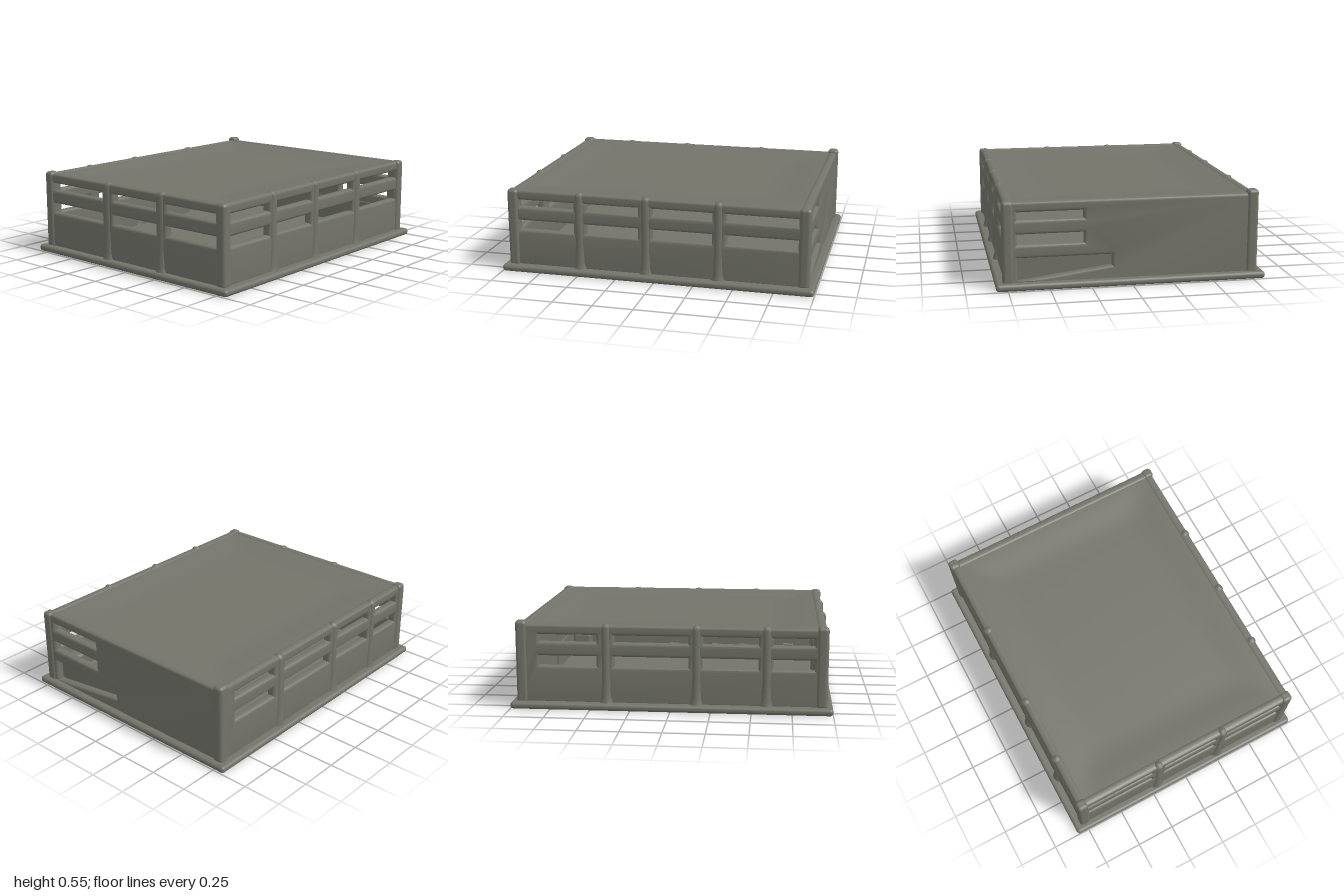
import * as THREE from 'three';
import { toCreasedNormals } from 'three/addons/utils/BufferGeometryUtils.js';
import { RoundedBoxGeometry } from 'three/addons/geometries/RoundedBoxGeometry.js';

export function createModel() {
  const model = new THREE.Group();
  model.name = 'slattedPen';
  const stone = new THREE.MeshStandardMaterial({ color: 0x73736a });
  stone.name = 'weatheredGrey';
  stone.side = THREE.DoubleSide;

  const add = (parent, name, geometry, x = 0, y = 0, z = 0) => {
    const mesh = new THREE.Mesh(geometry, stone);
    mesh.name = name;
    mesh.position.set(x, y, z);
    parent.add(mesh);
    return mesh;
  };

  // Base slab with rounded rim
  add(model, 'base', new RoundedBoxGeometry(2, 0.044, 1.65, 3, 0.02), 0, 0.022, -0.003);

  // A wall is a softly bevelled sheet with cut-outs; u runs to the right seen from outside
  const THICK = 0.06, BEVEL = 0.02;
  function wall(name, halfWidth, holes, posts, distance, angle) {
    const group = new THREE.Group();
    group.name = name;
    group.rotation.y = angle;
    const shape = new THREE.Shape([[-halfWidth, 0.03], [halfWidth, 0.03], [halfWidth, 0.53], [-halfWidth, 0.53]]
      .map(p => new THREE.Vector2(...p)));
    for (const hole of holes) {
      shape.holes.push(new THREE.Path(hole.map(p => new THREE.Vector2(...p))));
    }
    const sheet = new THREE.ExtrudeGeometry(shape, {
      depth: THICK - 2 * BEVEL, bevelEnabled: true, bevelThickness: BEVEL,
      bevelSize: BEVEL, bevelOffset: -BEVEL, bevelSegments: 3,
    });
    sheet.translate(0, 0, BEVEL - THICK);
    add(group, name + 'Rails', toCreasedNormals(sheet, 0.7), 0, 0, distance);
    for (const u of posts) {
      // Post with a rounded cap and a slightly flared foot
      const profile = [[0.05, 0.035], [0.038, 0.08], [0.033, 0.2], [0.033, 0.51], [0.024, 0.53], [0, 0.537]]
        .map(p => new THREE.Vector2(...p));
      add(group, name + 'Post', new THREE.LatheGeometry(profile, 14), u, 0, distance - 0.022);
    }
    model.add(group);
  }

  const rect = (u0, u1, y0, y1) => [[u0, y0], [u1, y0], [u1, y1], [u0, y1]];
  // Two long slots between the rails of each bay
  const slots = bays => bays.flatMap(([a, b]) => [rect(a, b, 0.42, 0.466), rect(a, b, 0.27, 0.332)]);

  wall('frontWall', 0.955, [
    ...slots([[-0.89, -0.53], [-0.45, -0.11], [-0.02, 0.36], [0.45, 0.89]]),
    rect(-0.87, -0.54, 0.055, 0.135), rect(-0.44, -0.13, 0.055, 0.135),
    [[-0.02, 0.065], [0.3, 0.06], [0.3, 0.09], [-0.02, 0.135]], rect(0.75, 0.88, 0.045, 0.2),
  ], [-0.49, -0.06, 0.4], 0.768, 0);

  wall('backWall', 0.955,
    slots([[-0.82, -0.46], [-0.35, 0.11], [0.2, 0.54], [0.63, 0.88]]),
    [-0.4, 0.16, 0.59], 0.775, Math.PI);

  wall('leftWall', 0.77, [
    ...slots([[-0.69, -0.29]]),
    [[-0.69, 0.045], [-0.12, 0.12], [-0.12, 0.188], [-0.69, 0.188]],
  ], [], 0.955, Math.PI / 2);

  wall('rightWall', 0.77,
    slots([[-0.71, -0.25], [-0.15, 0.22], [0.31, 0.7]]),
    [-0.2, 0.265], 0.955, -Math.PI / 2);

  // Panel closing the sloped recess low in the left wall
  add(model, 'recessPanel', new THREE.BoxGeometry(0.02, 0.18, 0.62), 0.89, 0.12, 0.4);

  // Corner posts, the back left one a little taller
  for (const [x, z, top] of [[-0.93, 0.745, 0.535], [0.93, 0.745, 0.535], [-0.93, -0.75, 0.54], [0.93, -0.75, 0.552]]) {
    add(model, 'cornerPost', new RoundedBoxGeometry(0.07, top - 0.03, 0.07, 3, 0.022), x, (top + 0.03) / 2, z);
  }

  // Roof sheet sagging gently inside the rim
  const roof = new THREE.PlaneGeometry(1.86, 1.5, 32, 28);
  roof.rotateX(-Math.PI / 2);
  const p = roof.attributes.position;
  for (let i = 0; i < p.count; i++) {
    const edge = Math.min(0.93 - Math.abs(p.getX(i)), 0.75 - Math.abs(p.getZ(i)));
    p.setY(i, 0.526 - 0.026 * THREE.MathUtils.smoothstep(edge, 0, 0.28));
  }
  roof.computeVertexNormals();
  add(model, 'roof', roof, 0, 0, -0.004);

  // Rough blocks lying behind the low front openings
  [[-0.83, 0.07], [-0.73, 0.09], [-0.6, 0.05], [-0.4, 0.08], [-0.31, 0.06], [-0.2, 0.08], [0.03, 0.05], [0.12, 0.08], [0.27, 0.05]]
    .forEach(([x, h], i) => {
      const block = add(model, 'block', new THREE.BoxGeometry(0.075, h, 0.06), x, 0.04 + h / 2, 0.68);
      block.rotation.set(0, (i % 3 - 1) * 0.2, (i % 2 - 0.5) * 0.15);
    });
  add(model, 'cornerBlock', new RoundedBoxGeometry(0.13, 0.15, 0.1, 2, 0.02), 0.815, 0.115, 0.68);
  return model;
}
